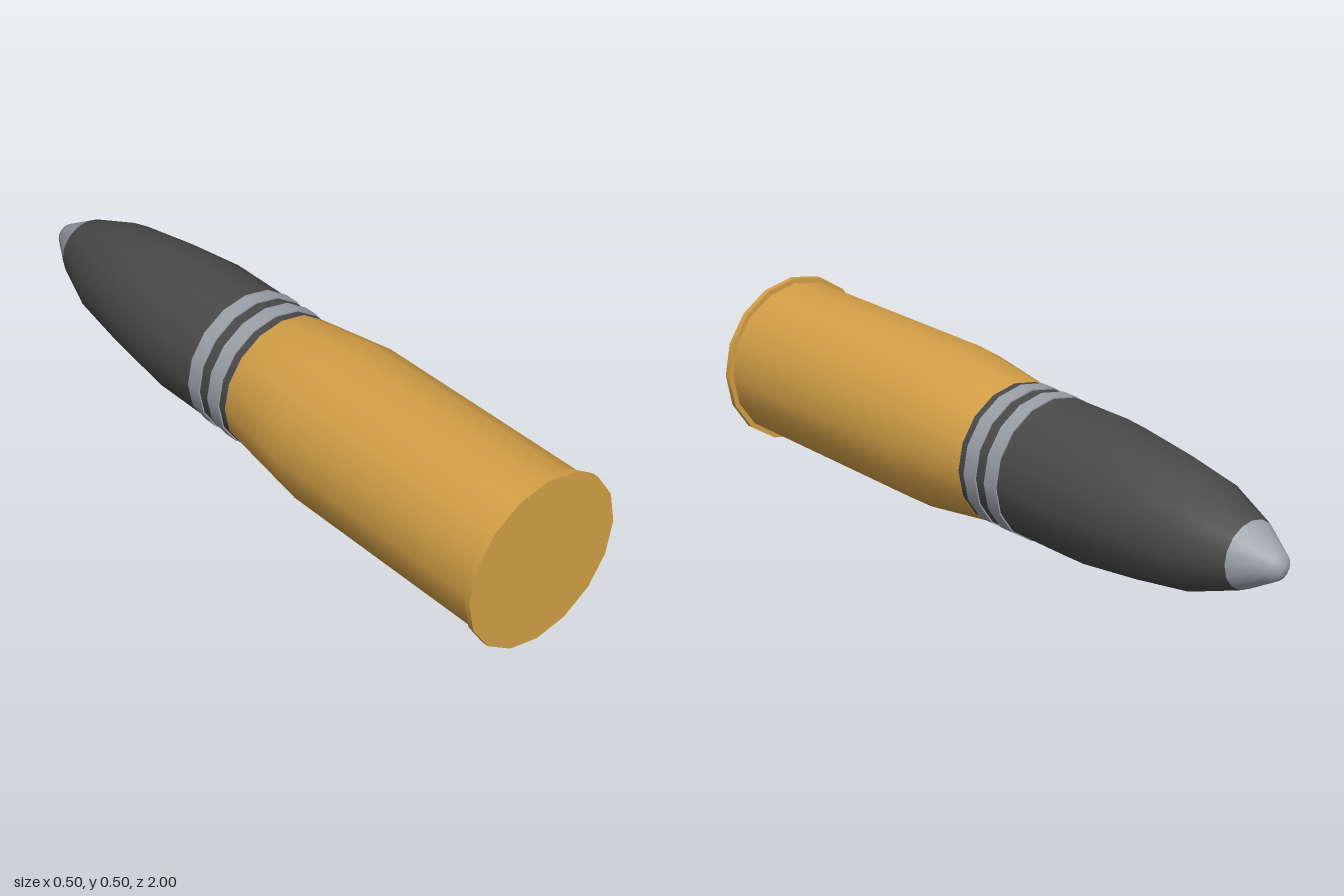
import * as THREE from 'three';

const SIDES = 16;
const AXIS_HEIGHT = 0.25;

function material(name, color) {
  const m = new THREE.MeshStandardMaterial({ color });
  m.name = name;
  return m;
}

export function createModel() {
  const brass = material('brass', 0xd4a047);
  const darkSteel = material('darkSteel', 0x4a4a4a);
  const paleSteel = material('paleSteel', 0x9ca0a8);

  const model = new THREE.Group();
  model.name = 'shell';

  // Each run of [radius, z] points, going from the base towards the nose,
  // is one smooth surface; separate runs meet at sharp edges.
  function turned(name, mat, ...runs) {
    const part = new THREE.Group();
    part.name = name;
    runs.forEach((run, i) => {
      const points = run.map(([r, z]) => new THREE.Vector2(r, -z));
      const geometry = new THREE.LatheGeometry(points, SIDES);
      geometry.rotateX(-Math.PI / 2);
      const mesh = new THREE.Mesh(geometry, mat);
      mesh.name = `${name}Surface${i + 1}`;
      part.add(mesh);
    });
    part.position.y = AXIS_HEIGHT;
    model.add(part);
  }

  // Flat base with its extraction rim
  turned('baseRim', brass,
    [[0, 1], [0.25, 1]],
    [[0.25, 1], [0.25, 0.983]],
    [[0.25, 0.983], [0.235, 0.983]]);

  // Straight case with a tapered shoulder
  turned('case', brass,
    [[0.235, 0.983], [0.235, 0.25], [0.201, 0]],
    [[0.201, 0], [0.198, 0]]);

  // Projectile body
  turned('projectile', darkSteel,
    [[0.2, 0], [0.2, -0.36], [0.178, -0.55], [0.15, -0.73], [0.093, -0.885]]);

  // Two raised driving bands
  for (const [name, z] of [['rearBand', -0.025], ['frontBand', -0.108]]) {
    const end = z - 0.047;
    turned(name, paleSteel,
      [[0.199, z], [0.204, z]],
      [[0.204, z], [0.204, end]],
      [[0.204, end], [0.199, end]]);
  }

  // Rounded fuse tip
  turned('noseTip', paleSteel,
    [[0.093, -0.885], [0.047, -0.965], [0.035, -0.985], [0.018, -0.997], [0, -1]]);

  return model;
}
